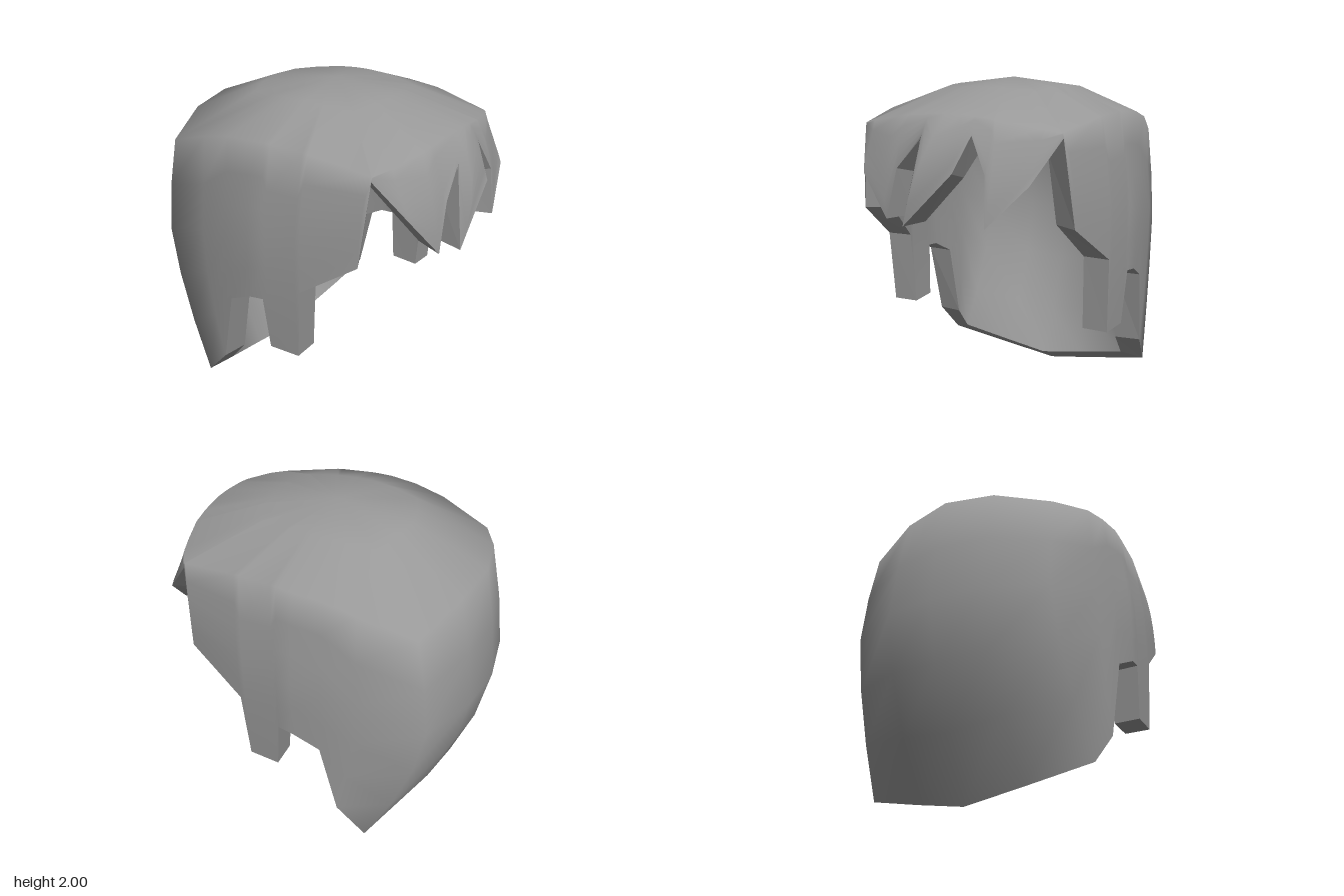
import * as THREE from 'three';

// Half outlines from back centre, round the left side, to front centre.
// ridge: edge of the crown [x, z]; wide: the fullest outline [x, z]; nape: lowest outline [x, y, z].
const ridge = [[0, -0.88], [0.3, -0.83], [0.62, -0.71], [0.69, -0.4], [0.71, -0.05],
  [0.67, 0.35], [0.61, 0.66], [0.42, 0.76], [0.2, 0.78], [0, 0.79]];
const wide = [[0, -0.985], [0.31, -0.945], [0.64, -0.8], [0.74, -0.42], [0.78, -0.05],
  [0.74, 0.33], [0.67, 0.63], [0.53, 0.85], [0.29, 0.91], [0, 1.03]];
const nape = [[0, 0, -0.6], [0.33, 0.07, -0.55], [0.71, 0.16, -0.48], [0.74, 0.35, -0.31], [0.75, 0.5, -0.05],
  [0.72, 0.5, 0.33], [0.66, 0.5, 0.63], [0.53, 0.5, 0.85], [0.29, 0.5, 0.91], [0, 0.5, 1.03]];
const clamp = THREE.MathUtils.clamp;
const lerp = THREE.MathUtils.lerp;

// Row of a table at a fractional index
function sample(table, p) {
  const i = Math.min(Math.floor(p), table.length - 2);
  return table[i].map((v, k) => lerp(v, table[i + 1][k], p - i));
}

// Crown: a shallow dome, steeper at the back and its corners
function dome(x, z) {
  const fall = z < 0 ? 0.31 + 0.3 * x * x : 0.255;
  return new THREE.Vector3(x, 2 - 0.357 * x * x - fall * z * z, z);
}

const half = (q) => (q > 9 ? 18 - q : q);
function ridgeAt(q) {
  const [x, z] = sample(ridge, half(q));
  return dome(q > 9 ? -x : x, z);
}

// Outer wall: q runs once round the head (0 to 18), y is the height
function wall(q, y) {
  const side = q > 9 ? -1 : 1;
  const r = ridgeAt(q), w = sample(wide, half(q)), low = sample(nape, half(q));
  const full = 1.25 - 0.13 * clamp(-r.z / 0.7, 0, 1);
  const u = clamp((r.y - y) / (r.y - full), 0, 1);
  const bulge = 1.2 + 1.2 * clamp(r.z / 0.7, 0, 1);
  const k = 1 - Math.pow(1 - u, bulge);
  const tuck = Math.pow(1 - clamp((y - low[1]) / (1.11 - low[1]), 0, 1), 1.65);
  return new THREE.Vector3(
    lerp(lerp(r.x, side * w[0], k), side * low[0], tuck), y,
    lerp(lerp(r.z, w[1], k), low[2], tuck));
}

// Find q where a coordinate of the wall reaches a value at height y
function solve(lo, hi, y, axis, value) {
  const rising = axis === 'z';
  for (let i = 0; i < 40; i++) {
    const mid = (lo + hi) / 2;
    if ((wall(mid, y)[axis] < value) === rising) lo = mid; else hi = mid;
  }
  return (lo + hi) / 2;
}
const onSide = (z, y) => ({ q: solve(0, 7, y, 'z', z), y });
const onFront = (x, y, topX = x) => ({
  q: solve(6, 12, y, 'x', x), y, top: solve(6, 12, 1.8, 'x', topX),
});

// Hem: nape, ear opening, sideburn and temple on the left side
const sideHem = [
  { q: 1, y: 0.07 }, { q: 2, y: 0.16 },
  ...[[-0.31, 0.35], [-0.21, 0.81], [-0.05, 0.89], [0.04, 0.9], [0.07, 0.58],
    [0.26, 0.58], [0.29, 1.02], [0.62, 1.25]].map(([z, y]) => onSide(z, y)),
  { q: 6, y: 1.73 },
];
// Fringe: three pointed strands from left to right
const fringe = [
  [0.51, 1.5], [0.29, 1.27], [0.28, 1.55], [0.18, 1.74], [0.12, 1.55, 0.1],
  [-0.18, 1.25, 0], [-0.11, 1.71], [-0.25, 1.55], [-0.32, 1.27], [-0.51, 1.5],
].map((a) => onFront(...a));
const mirrored = sideHem.map((h) => ({ q: 18 - h.q, y: h.y })).reverse();
const hem = [{ q: 0, y: 0 }, ...sideHem, ...fringe, ...mirrored];

// Inner lining point belonging to an outer point
function inset(p) {
  const t = 0.165 * Math.pow(clamp(Math.abs(p.z) / (p.z < 0 ? 0.62 : 0.8), 0, 1), 3);
  const drop = 0.17 * clamp((p.y - 1.4) / 0.6, 0, 1);
  const low = clamp((0.35 - p.y) / 0.35, 0, 1);
  return new THREE.Vector3(p.x * (0.79 + 0.06 * low), p.y - drop + 0.09 * low, p.z - Math.sign(p.z) * t);
}

function geometry(points, index) {
  const g = new THREE.BufferGeometry().setFromPoints(points);
  g.setIndex(index);
  return g;
}

export function createModel() {
  const group = new THREE.Group();
  const material = new THREE.MeshStandardMaterial({ color: 0x999999, side: THREE.DoubleSide });
  const CAP = 2, WALL = 5, ROWS = CAP + WALL, n = hem.length;

  // One column of points per hem corner, from crown over ridge to hem
  const points = [dome(0, 0)];
  for (const h of hem) {
    const top = h.top ?? h.q;
    const r = ridgeAt(top);
    for (let i = 1; i <= CAP; i++) points.push(dome(r.x * i / CAP, r.z * i / CAP));
    for (let i = 1; i <= WALL; i++) {
      const v = i / WALL;
      points.push(wall(lerp(top, h.q, v), lerp(r.y, h.y, v)));
    }
  }

  const at = (c, row) => 1 + (c % n) * ROWS + row;
  const index = [];
  for (let c = 0; c < n; c++) {
    index.push(0, at(c + 1, 0), at(c, 0));
    for (let r = 0; r < ROWS - 1; r++) {
      const a = at(c, r), b = at(c + 1, r);
      index.push(a, b, b + 1, a, b + 1, a + 1);
    }
  }
  const outer = geometry(points, index);
  outer.computeVertexNormals();

  // Lining: the same grid pulled inward and facing inward
  const innerPoints = points.map(inset);
  const lining = geometry(innerPoints, index.slice().reverse());
  lining.computeVertexNormals();

  // Rim: flat faces joining both shells along the hem
  const rimPoints = [], rimIndex = [];
  for (let c = 0; c < n; c++) {
    const a = at(c, ROWS - 1), b = at(c + 1, ROWS - 1), k = rimPoints.length;
    rimPoints.push(points[a], points[b], innerPoints[b], innerPoints[a]);
    rimIndex.push(k, k + 1, k + 2, k, k + 2, k + 3);
  }
  const rim = geometry(rimPoints, rimIndex).toNonIndexed();
  rim.computeVertexNormals();

  for (const [name, g] of [['hairShell', outer], ['hairLining', lining], ['hairRim', rim]]) {
    const mesh = new THREE.Mesh(g, material);
    mesh.name = name;
    group.add(mesh);
  }
  group.name = 'hair';
  return group;
}
